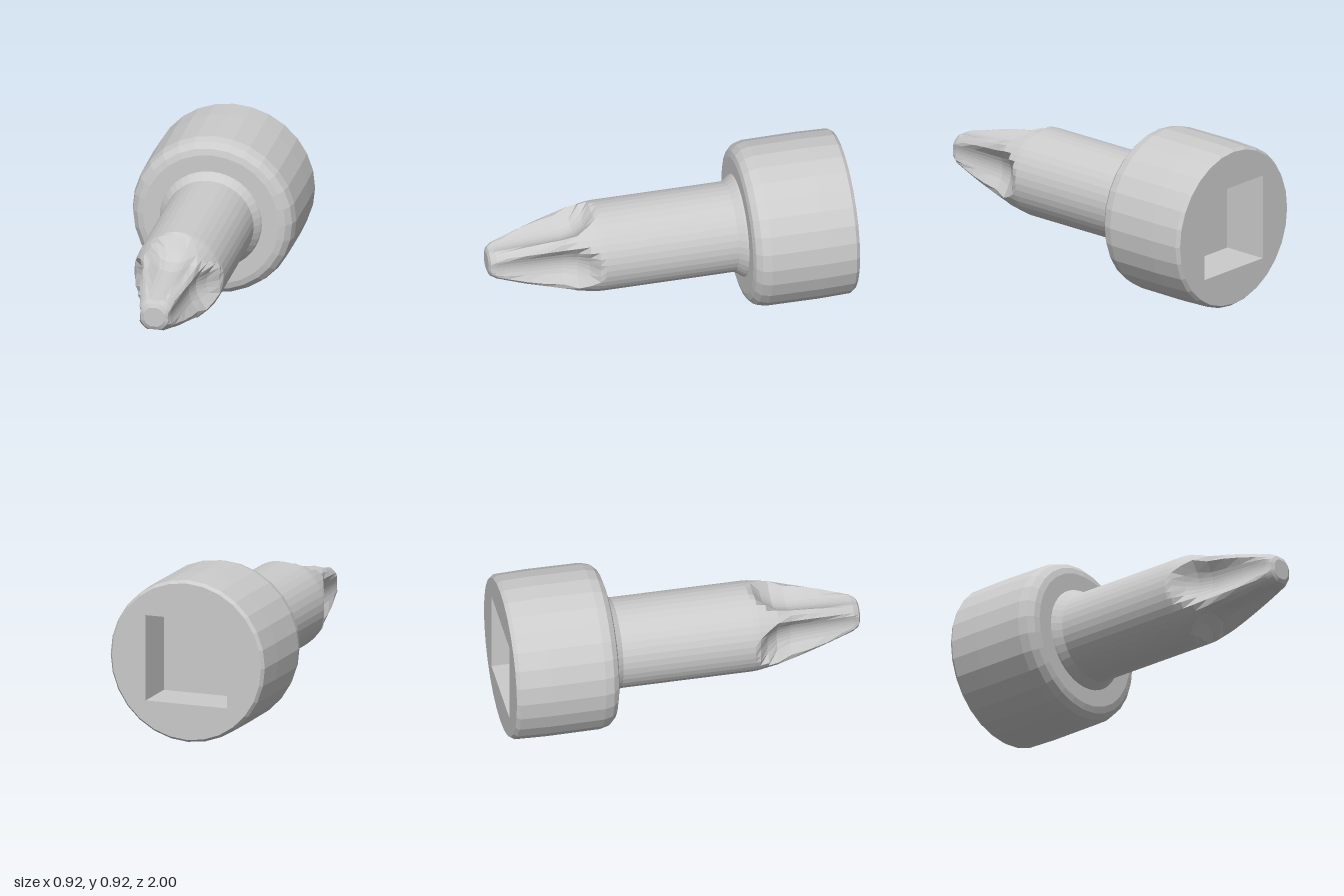
import * as THREE from 'three';

const AXIS_Y = 0.46;   // height of the tool's axis
const BACK_Z = -0.995; // rear face of the head
const HALF = 0.24;     // half side of the square socket
const DEPTH = 0.26;    // socket depth

const material = (side = THREE.FrontSide) =>
  new THREE.MeshStandardMaterial({ color: 0xcccccc, flatShading: true, side });

// Turned solid along z from [z, radius] pairs, listed back to front
function turned(profile, sides) {
  const points = profile.map(([z, r]) => new THREE.Vector2(r, z));
  return new THREE.LatheGeometry(points, sides);
}

function addPart(group, name, geometry, side) {
  const mesh = new THREE.Mesh(geometry, material(side));
  mesh.name = name;
  group.add(mesh);
  return mesh;
}

// Shank and cross tip: [z, radius, radius at the flute floor]
const SHANK = [
  [-0.42, 0.29, 1], [-0.40, 0.28, 1], [-0.36, 0.25, 1], [0, 0.25, 1], [0.38, 0.25, 1],
  [0.41, 0.248, 0.23], [0.46, 0.24, 0.17], [0.52, 0.23, 0.125], [0.6, 0.21, 0.105],
  [0.7, 0.182, 0.1], [0.8, 0.152, 0.095], [0.9, 0.12, 0.088], [0.96, 0.1, 0.083],
  [0.99, 0.08, 0.075], [1, 0.058, 0.055], [1, 0, 1],
];

function shankGeometry() {
  const geometry = turned(SHANK, 40);
  const pos = geometry.attributes.position;
  const quarter = Math.PI / 2;
  const curve = 4; // how fast a flute rises from its floor to its rims
  for (let i = 0; i < pos.count; i++) {
    const [, radius, floor] = SHANK[i % SHANK.length];
    if (radius === 0 || floor === 1) continue;
    // Scoop a parabolic flute out of each of the four sides
    const angle = Math.atan2(pos.getX(i), pos.getZ(i));
    const phi = angle - Math.round(angle / quarter) * quarter;
    const c = Math.cos(phi), s = Math.sin(phi);
    const disc = c * c - 4 * curve * s * s * floor;
    if (disc < 0) continue;
    const scoop = (2 * floor) / (c + Math.sqrt(disc));
    const k = Math.min(1, scoop / radius);
    pos.setX(i, pos.getX(i) * k);
    pos.setZ(i, pos.getZ(i) * k);
  }
  geometry.rotateX(quarter);
  geometry.computeVertexNormals();
  return geometry;
}

export function createModel() {
  const model = new THREE.Group();
  model.name = 'screwdriverBit';

  addPart(model, 'shankAndTip', shankGeometry());

  // Round head with softened rims
  const head = turned([
    [BACK_Z, 0.44], [-0.975, 0.455], [-0.8, 0.46], [-0.5, 0.458],
    [-0.45, 0.445], [-0.42, 0.415], [-0.41, 0.38], [-0.41, 0.24],
  ], 28);
  head.rotateX(Math.PI / 2);
  addPart(model, 'head', head);

  // Rear face with a square opening
  const face = new THREE.Shape();
  for (let i = 0; i < 28; i++) {
    const a = (i / 28) * Math.PI * 2;
    const x = 0.44 * Math.sin(a), y = 0.44 * Math.cos(a);
    if (i === 0) face.moveTo(x, y);
    else face.lineTo(x, y);
  }
  face.closePath();
  const square = [[-1, -1], [1, -1], [1, 1], [-1, 1]];
  face.holes.push(new THREE.Path(square.map(([x, y]) => new THREE.Vector2(x * HALF, y * HALF))));
  const rear = addPart(model, 'rearFace', new THREE.ShapeGeometry(face));
  rear.rotation.y = Math.PI;
  rear.position.z = BACK_Z;

  // Socket walls and floor
  for (let i = 0; i < 4; i++) {
    const wall = new THREE.PlaneGeometry(DEPTH, HALF * 2);
    wall.rotateY(-Math.PI / 2);
    wall.translate(HALF, 0, BACK_Z + DEPTH / 2);
    wall.rotateZ((i * Math.PI) / 2);
    addPart(model, 'socketWall', wall);
  }
  const floor = new THREE.PlaneGeometry(HALF * 2, HALF * 2);
  floor.rotateY(Math.PI);
  floor.translate(0, 0, BACK_Z + DEPTH);
  addPart(model, 'socketFloor', floor);

  model.children.forEach((part) => { part.position.y = AXIS_Y; });
  return model;
}
